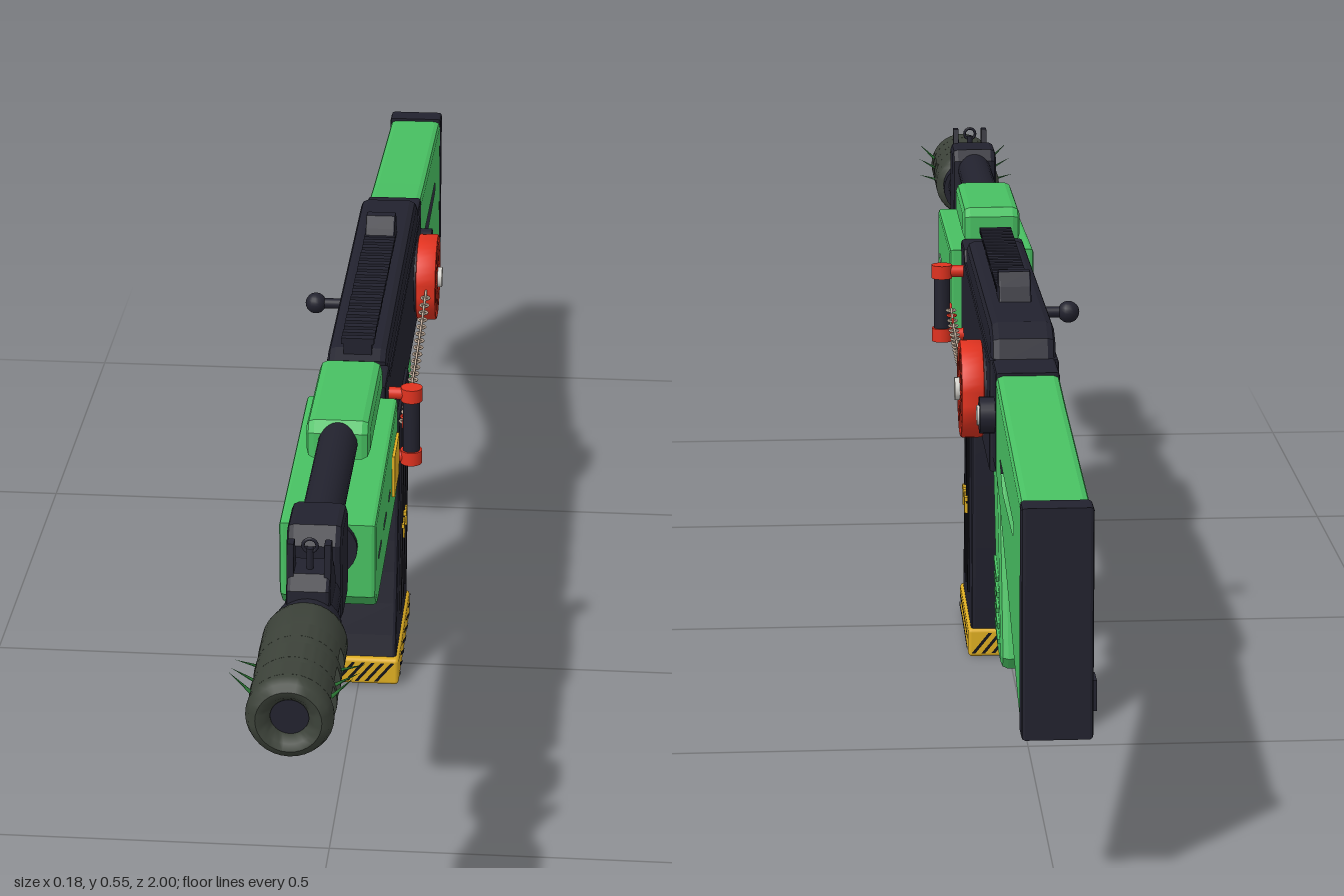
import * as THREE from 'three';
import { RoundedBoxGeometry } from 'three/addons/geometries/RoundedBoxGeometry.js';
import { toCreasedNormals } from 'three/addons/utils/BufferGeometryUtils.js';

const mat = (name, color) => Object.assign(new THREE.MeshStandardMaterial({ color }), { name });

export function createModel() {
  const green = mat('green furniture', 0x48c062), dark = mat('dark metal', 0x22222e);
  const red = mat('red', 0xe0321f), gold = mat('gold', 0xdfae22), olive = mat('olive grey metal', 0x3c4239);
  const silver = mat('silver', 0xd4d2cc), black = mat('black', 0x14141a), tan = mat('chain tan', 0xb9a593);
  const thornGreen = mat('thorn green', 0x2c7a35);
  const body = new THREE.Group();
  body.name = 'rifle';
  body.position.x = 0.003;
  const root = new THREE.Group();
  root.add(body);

  const add = (name, geo, m, x = 0, y = 0, z = 0) => {
    const mesh = new THREE.Mesh(geo, m);
    mesh.name = name;
    mesh.position.set(x, y, z);
    body.add(mesh);
    return mesh;
  };
  const box = (name, m, w, h, d, x, y, z) => add(name, new THREE.BoxGeometry(w, h, d), m, x, y, z);
  // Cylinder along 'x', 'y' or 'z'
  const rod = (name, m, r, len, axis, x, y, z) => {
    const g = new THREE.CylinderGeometry(r, r, len, 24);
    if (axis === 'x') g.rotateZ(-Math.PI / 2);
    if (axis === 'z') g.rotateX(Math.PI / 2);
    return add(name, g, m, x, y, z);
  };
  // Side profile given as [z, y] points, extruded across x
  const pts = (a) => a.map(([z, y]) => new THREE.Vector2(-z, y));
  const slab = (name, m, profile, width, bevel = 0.005, holes = [], x = 0) => {
    const s = new THREE.Shape(pts(profile));
    holes.forEach((h) => s.holes.push(new THREE.Path(pts(h))));
    const g = new THREE.ExtrudeGeometry(s, {
      depth: width - 2 * bevel, bevelEnabled: bevel > 0, bevelThickness: bevel,
      bevelSize: bevel, bevelOffset: -bevel, bevelSegments: 2,
    });
    g.translate(0, 0, -(width - 2 * bevel) / 2).rotateY(Math.PI / 2);
    return add(name, g, m, x);
  };
  const rect = (z0, z1, y0, y1) => [[z0, y0], [z0, y1], [z1, y1], [z1, y0]];

  // Muzzle brake: hollow, with three slots through each side
  const by = 0.449, R = 0.048;
  const tube = (name, profile) => add(name, toCreasedNormals(
    new THREE.LatheGeometry(profile.map(([r, z]) => new THREE.Vector2(r, z)), 32).rotateX(Math.PI / 2), 0.8),
  olive, 0, by, 0);
  tube('brakeFront', [[0.03, 0.98], [R, 0.98], [R, 0.985], [0.044, 0.995], [0.036, 1], [0.028, 0.997], [0.021, 0.988], [0.021, 0.98], [0.03, 0.98]]);
  tube('brakeRear', [[0, 0.8], [0.04, 0.8], [0.046, 0.806], [R, 0.815], [R, 0.86], [0, 0.86]]);
  rod('bore', dark, 0.022, 0.006, 'z', 0, by, 0.983);
  [[0.89, 0.905], [0.94, 0.95]].forEach(([a, b]) =>
    tube('brakeRing', [[0.03, a], [R, a], [R, b], [0.03, b], [0.03, a]]));
  for (const [a, b] of [[0.86, 0.89], [0.905, 0.94], [0.95, 0.98]]) {
    for (const turn of [0, Math.PI]) {
      const s = new THREE.Shape();
      s.absarc(0, 0, R, 0.42, Math.PI - 0.42, false);
      s.absarc(0, 0, 0.03, Math.PI - 0.42, 0.42, true);
      const g = new THREE.ExtrudeGeometry(s, { depth: b - a, bevelEnabled: false, curveSegments: 14 });
      add('brakeShell', toCreasedNormals(g.rotateZ(turn), 0.8), olive, 0, by, a);
    }
  }
  // Thorns on the brake
  [0.87, 0.92, 0.96].forEach((z, i) => {
    for (const side of [-1, 1]) {
      const t = add('thorn', new THREE.ConeGeometry(0.0025, 0.035, 5), thornGreen, side * 0.055, by + 0.012 * i, z);
      t.rotation.z = -side * (1.3 - i * 0.25);
    }
  });

  // Barrel, gas tube, sight and gas blocks
  rod('barrel', dark, 0.021, 0.65, 'z', 0, 0.453, 0.5);
  rod('gasTube', dark, 0.024, 0.26, 'z', 0, 0.505, 0.5);
  rod('barrelCollar', dark, 0.038, 0.03, 'z', 0, by, 0.788);
  rod('sightCollar', dark, 0.031, 0.075, 'z', 0, 0.452, 0.742);
  slab('frontSightBase', dark, [[0.785, 0.45], [0.78, 0.495], [0.765, 0.51], [0.725, 0.51], [0.705, 0.48], [0.705, 0.45]], 0.05);
  for (const x of [-0.021, 0.021]) slab('frontSightEar', dark, [[0.77, 0.49], [0.763, 0.545], [0.748, 0.545], [0.73, 0.49]], 0.008, 0.001, [], x);
  rod('frontSightPost', dark, 0.004, 0.04, 'y', 0, 0.515, 0.75);
  add('frontSightRing', new THREE.TorusGeometry(0.008, 0.002, 8, 16), dark, 0, 0.538, 0.75);
  slab('gasBlock', dark, [[0.705, 0.425], [0.705, 0.515], [0.69, 0.535], [0.63, 0.535], [0.617, 0.52], [0.617, 0.44], [0.635, 0.418], [0.695, 0.418]], 0.064, 0.008);
  const loop = (name, z0, z1, y0, y1, t, w, x) =>
    slab(name, dark, rect(z0, z1, y0, y1), w, 0, [rect(z0 - t, z1 + t, y0 + t, y1 - t)], x);
  loop('frontSlingLoop', 0.682, 0.64, 0.39, 0.425, 0.006, 0.008, 0);

  // Handguard
  const slots = [[0.51, 0.445], [0.43, 0.365], [0.35, 0.3]].map(([a, b]) =>
    [[a, 0.4], [a - 0.012, 0.412], [b, 0.412], [b, 0.406], [b + 0.012, 0.396], [a, 0.396]]);
  slab('lowerHandguard', green, [[0.54, 0.37], [0.54, 0.464], [0.19, 0.475], [0.19, 0.355], [0.21, 0.348], [0.515, 0.348]], 0.115, 0.005, slots);
  slab('upperHandguard', green, [[0.4, 0.485], [0.4, 0.518], [0.388, 0.531], [0.205, 0.531], [0.193, 0.52], [0.193, 0.485]], 0.078, 0.01);
  rod('handguardCap', dark, 0.036, 0.016, 'z', 0, 0.436, 0.54);
  box('goldPlate', gold, 0.006, 0.055, 0.075, 0.058, 0.41, 0.247);

  // Receiver, top cover and rail
  slab('receiver', dark, [[0.19, 0.357], [0.19, 0.49], [0.12, 0.49], [0.11, 0.475], [-0.462, 0.475], [-0.462, 0.337], [-0.18, 0.337], [-0.17, 0.352]], 0.084, 0.004);
  slab('topCover', dark, [[0.12, 0.45], [0.12, 0.495], [0.1, 0.505], [-0.42, 0.512], [-0.45, 0.498], [-0.462, 0.47], [-0.462, 0.45]], 0.078, 0.01);
  box('rail', dark, 0.036, 0.014, 0.37, 0, 0.507, -0.075);
  for (let i = 0; i < 19; i++) box('railTooth', dark, 0.042, 0.008, 0.011, 0, 0.518, 0.105 - i * 0.02);
  slab('rearSight', dark, [[-0.245, 0.505], [-0.26, 0.53], [-0.27, 0.545], [-0.285, 0.545], [-0.295, 0.528], [-0.305, 0.505]], 0.04, 0.002);

  // Controls on the -x side
  rod('chargingHandle', dark, 0.007, 0.05, 'x', -0.058, 0.463, -0.15);
  add('chargingKnob', new THREE.SphereGeometry(0.014, 16, 12), dark, -0.078, 0.463, -0.15);
  box('boltSlot', black, 0.006, 0.02, 0.22, -0.042, 0.455, -0.06);
  box('selectorLever', dark, 0.006, 0.018, 0.2, -0.045, 0.42, -0.3).rotation.x = 0.08;
  for (const [y, z] of [[0.41, 0.15], [0.4, -0.22], [0.38, -0.43]]) rod('receiverPin', silver, 0.008, 0.006, 'x', -0.044, y, z);

  // Spoked wheel on the +x side
  const rim = new THREE.Shape().absarc(0, 0, 0.06, 0, Math.PI * 2);
  for (let i = 0; i < 8; i++) {
    const a = (i * Math.PI) / 4, gap = new THREE.Path();
    gap.absarc(0, 0, 0.046, a + 0.12, a + 0.6, false);
    gap.absarc(0, 0, 0.02, a + 0.5, a + 0.22, true);
    rim.holes.push(gap);
  }
  const wheel = new THREE.ExtrudeGeometry(rim, { depth: 0.022, bevelThickness: 0.003, bevelSize: 0.003, bevelOffset: -0.003, bevelSegments: 2, curveSegments: 20 });
  add('wheel', toCreasedNormals(wheel.rotateY(Math.PI / 2), 0.6), red, 0.048, 0.418, -0.37);
  rod('wheelBacking', dark, 0.05, 0.012, 'x', 0.047, 0.418, -0.37);
  rod('wheelHub', silver, 0.014, 0.034, 'x', 0.062, 0.418, -0.37);

  // Red-capped roller and the chain sagging to the wheel
  rod('roller', dark, 0.011, 0.09, 'y', 0.071, 0.417, 0.133);
  for (const y of [0.371, 0.458]) {
    rod('rollerCap', red, 0.014, 0.018, 'y', 0.071, y, 0.133);
    rod('rollerArm', red, 0.008, 0.03, 'x', 0.053, y, 0.133);
  }
  const sag = new THREE.CatmullRomCurve3([[0.41, 0.12], [0.399, 0.02], [0.397, -0.09], [0.405, -0.22], [0.418, -0.33]]
    .map(([y, z]) => new THREE.Vector3(0.06, y, z)));
  sag.getSpacedPoints(44).forEach((p, i) => {
    const link = add('chainLink', new THREE.TorusGeometry(0.0055, 0.0017, 6, 10), i < 8 && i % 3 === 0 ? red : tan, p.x, p.y, p.z);
    link.rotation.set(i % 2 ? Math.PI / 2 : 0, i % 2 ? 0 : Math.PI / 2, 0);
  });

  // Stock hinge block, stock and butt pad
  slab('hingeBlock', dark, rect(-0.46, -0.53, 0.352, 0.475), 0.076, 0.004);
  rod('hingePin', dark, 0.022, 0.022, 'x', 0.045, 0.417, -0.5);
  rod('hingeBolt', silver, 0.012, 0.004, 'x', 0.057, 0.417, -0.5);
  rod('hingeBoltFar', silver, 0.01, 0.006, 'x', -0.04, 0.417, -0.5);
  slab('stock', green, [[-0.525, 0.352], [-0.525, 0.472], [-0.62, 0.463], [-0.972, 0.437], [-0.972, 0.186], [-0.93, 0.196], [-0.6, 0.33]], 0.076, 0.008,
    [[[-0.6, 0.388], [-0.6, 0.401], [-0.85, 0.39], [-0.862, 0.38], [-0.858, 0.364], [-0.845, 0.358], [-0.66, 0.358]]]);
  slab('buttPad', dark, rect(-0.968, -1, 0.182, 0.441), 0.078, 0.004);
  loop('rearSlingLoop', -0.905, -0.935, 0.192, 0.227, 0.006, 0.008, -0.044);

  // Pistol grip with finger ridges
  slab('grip', green, [[-0.33, 0.342], [-0.36, 0.27], [-0.385, 0.205], [-0.412, 0.125], [-0.43, 0.098], [-0.488, 0.096], [-0.501, 0.112], [-0.46, 0.25], [-0.42, 0.342]], 0.06, 0.009);
  for (const side of [-1, 1]) for (let i = 0; i < 5; i++) {
    box('gripRidge', green, 0.006, 0.007, 0.052, side * 0.03, 0.205 - i * 0.018, -0.427 - i * 0.006).rotation.x = -0.25;
  }

  // Trigger and guard
  loop('triggerGuard', -0.19, -0.34, 0.272, 0.345, 0.009, 0.026, 0);
  slab('trigger', dark, [[-0.24, 0.345], [-0.237, 0.31], [-0.228, 0.287], [-0.236, 0.285], [-0.25, 0.31], [-0.258, 0.345]], 0.012, 0.001);
  box('magazineCatch', dark, 0.03, 0.05, 0.012, 0, 0.32, -0.182);

  // Curved magazine with ribs; u runs from its front edge to its back edge
  const magZ = (t, u) => THREE.MathUtils.lerp(0.004, -0.168, u) + THREE.MathUtils.lerp(0.058, 0.026, u) * (0.3 * t + 0.7 * t * t);
  const strip = (u0, u1, t0, t1) => {
    const ts = Array.from({ length: 9 }, (_, i) => t0 + ((t1 - t0) * i) / 8);
    const side = (u) => ts.map((t) => [magZ(t, u), 0.365 - 0.34 * t]);
    return [...side(u0), ...side(u1).reverse()];
  };
  slab('magazine', dark, strip(0, 1, 0, 1), 0.094);
  for (const x of [-0.0475, 0.0475]) for (const u of [0.27, 0.5, 0.73]) slab('magazineRib', black, strip(u - 0.03, u + 0.03, 0.07, 0.85), 0.004, 0, [], x);
  for (const z of [-0.03, -0.07]) {
    box('magazineMark', gold, 0.004, 0.006, 0.024, 0.05, 0.197, z);
    box('magazineMark', gold, 0.004, 0.028, 0.006, 0.05, 0.19, z);
  }

  // Magazine base with slanted dark stripes on its sides and underside
  const bw = 0.102, bh = 0.038, bd = 0.214, bz = -0.04, by0 = bh / 2 + 0.001, e = 0.001, q = Math.PI / 2;
  add('magazineBase', new RoundedBoxGeometry(bw, bh, bd, 2, 0.005), gold, 0, by0, bz);
  const stripes = (w, h, x, y, z, rx, ry, rz) => {
    const list = [], lean = Math.min(h * 0.8, 0.04);
    for (let u = -w / 2 + 0.004; u + lean + 0.005 <= w / 2; u += 0.013) {
      list.push(new THREE.Shape([[u, -h / 2], [u + 0.005, -h / 2], [u + 0.005 + lean, h / 2], [u + lean, h / 2]]
        .map((p) => new THREE.Vector2(...p))));
    }
    add('baseStripes', new THREE.ShapeGeometry(list), black, x, y, z).rotation.set(rx, ry, rz);
  };
  for (const s of [-1, 1]) {
    stripes(bw, bh - 0.01, 0, by0, bz + s * (bd / 2 + e), 0, s > 0 ? 0 : Math.PI, 0);
    stripes(bd, bh - 0.01, s * (bw / 2 + e), by0, bz, 0, s * q, 0);
  }
  stripes(bd, bw - 0.01, 0, 0, bz, q, 0, q);

  return root;
}
